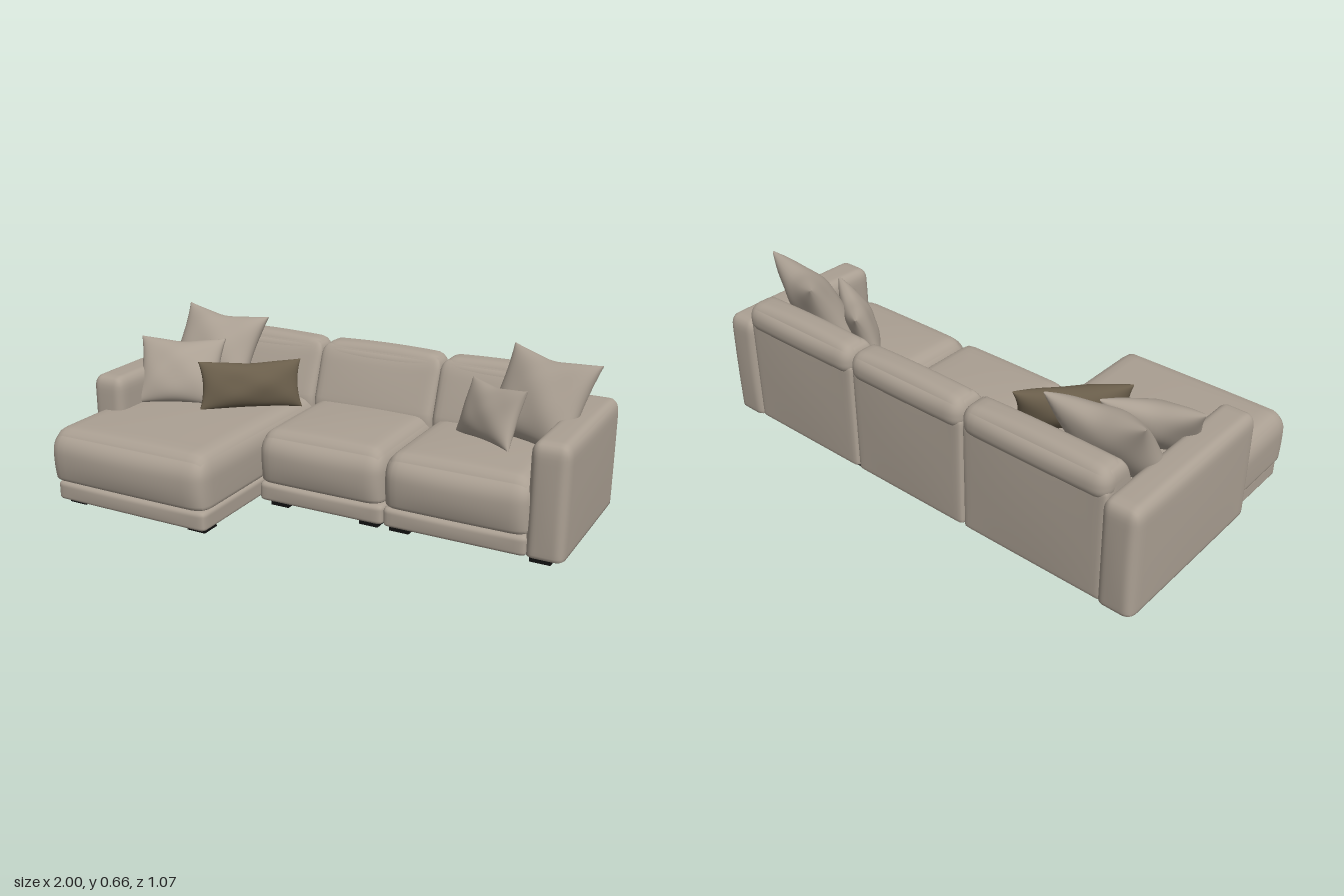
import * as THREE from 'three';
import { mergeVertices } from 'three/addons/utils/BufferGeometryUtils.js';

const mat = (name, color) => {
  const m = new THREE.MeshStandardMaterial({ color });
  m.name = name;
  return m;
};

// Weld a deformed geometry so it shades smoothly.
function smooth(geometry) {
  geometry.deleteAttribute('uv');
  geometry.deleteAttribute('normal');
  const g = mergeVertices(geometry, 1e-5);
  g.computeVertexNormals();
  return g;
}

// Upholstered block from min/max ranges. r: side radius, rt/rb: vertical radius
// at top and bottom, bulge: [x, y, z] swelling, shape: extra rule for each point.
function softBlock([x0, x1], [y0, y1], [z0, z1], { r, rt = r, rb = r, bulge = [0, 0, 0], shape } = {}) {
  const half = [(x1 - x0) / 2, (y1 - y0) / 2, (z1 - z0) / 2];
  const mid = [(x0 + x1) / 2, (y0 + y1) / 2, (z0 + z1) / 2];
  const geo = new THREE.BoxGeometry(2, 2, 2, 22, 22, 22);
  const pos = geo.attributes.position;
  const p = new THREE.Vector3();
  for (let i = 0; i < pos.count; i++) {
    // Crowd the grid towards the edges, where the rounding is.
    const u = [pos.getX(i), pos.getY(i), pos.getZ(i)].map(t => Math.sin(t * Math.PI / 2));
    const rad = [r, u[1] > 0 ? rt : rb, r];
    const d = u.map((t, k) => Math.max(0, (Math.abs(t) * half[k] - half[k] + rad[k]) / rad[k]));
    const len = Math.hypot(...d) || 1;
    const q = u.map((t, k) => {
      const inner = Math.min(Math.abs(t) * half[k], half[k] - rad[k]);
      const a = u[(k + 1) % 3], b = u[(k + 2) % 3];
      const swell = bulge[k] * t * (1 - a * a) * (1 - b * b);
      return mid[k] + Math.sign(t) * (inner + rad[k] * d[k] / len) + swell;
    });
    p.set(...q);
    if (shape) shape(p, u);
    pos.setXYZ(i, p.x, p.y, p.z);
  }
  return smooth(geo);
}

// Throw pillow: pointed corners, hollow edges, soft folds and thin seams.
function pillowGeometry(w, h, depth, pinch, phase) {
  const geo = new THREE.BoxGeometry(2, 2, 2, 28, 28, 1);
  const pos = geo.attributes.position;
  for (let i = 0; i < pos.count; i++) {
    const u = Math.sin(pos.getX(i) * Math.PI / 2), v = Math.sin(pos.getY(i) * Math.PI / 2);
    const body = (1 - u * u) * (1 - v * v);
    const fold = 1 + 0.07 * Math.sin(5 * u + phase) * Math.cos(4 * v - phase);
    const dent = 0.05 * Math.exp(-u * u * 8) * Math.max(0, v) ** 4;
    pos.setXYZ(i,
      u * w / 2 * (1 - pinch * (1 - v * v)),
      h / 2 * (v * (1 - pinch * (1 - u * u)) - dent),
      pos.getZ(i) * (0.003 + depth / 2 * fold * Math.pow(Math.max(0, body), 0.5)));
  }
  return smooth(geo);
}

export function createModel() {
  const fabric = mat('beige fabric', 0xaba093);
  const brown = mat('brown fabric', 0x695d4a);
  const black = mat('black feet', 0x111111);
  const sofa = new THREE.Group();
  sofa.name = 'sectionalSofa';

  const add = (name, geometry, material = fabric) => {
    const mesh = new THREE.Mesh(geometry, material);
    mesh.name = name;
    sofa.add(mesh);
    return mesh;
  };

  // Arms
  const arm = { r: 0.035, rt: 0.05, rb: 0.012, bulge: [0.004, 0.003, 0.006] };
  add('leftArm', softBlock([0.85, 0.995], [0.02, 0.463], [-0.522, 0.127], arm));
  add('rightArm', softBlock([-0.995, -0.85], [0.02, 0.463], [-0.522, 0.222], arm));

  // Seat sections: x range, front of the cushion, front of the plinth
  const seats = [
    ['chaise', [-0.985, -0.252], 0.515, 0.505, [-0.968, -0.262]],
    ['middle', [-0.252, 0.291], 0.14, 0.13, [-0.255, 0.29]],
    ['end', [0.291, 0.868], 0.14, 0.13, [0.29, 0.86]],
  ];
  for (const [name, xs, front, baseFront, baseX] of seats) {
    add(name + 'Base', softBlock(baseX, [0.022, 0.104], [-0.49, baseFront],
      { r: 0.025, rt: 0.02, rb: 0.015, bulge: [0, 0, 0.006] }));
    add(name + 'SeatCushion', softBlock(xs, [0.1, 0.322], [-0.42, front], {
      r: 0.06, rt: 0.09, rb: 0.02, bulge: [0.004, 0.012, 0.012],
      shape: (p, u) => { // belly of the front edge
        p.z += 0.012 * Math.max(0, u[2]) ** 3 * (1 - u[1] * u[1]);
      },
    }));
  }

  // Backrest sections: rear panel, sloping cushion and rolled top
  const backs = [['chaise', -0.87, -0.255], ['middle', -0.255, 0.29], ['end', 0.29, 0.865]];
  for (const [name, x0, x1] of backs) {
    add(name + 'BackPanel', softBlock([x0 + 0.002, x1 - 0.002], [0.022, 0.48], [-0.513, -0.4],
      { r: 0.02, rb: 0.012, bulge: [0, 0, 0.006] }));
    add(name + 'BackCushion', softBlock([x0, x1], [0.22, 0.548], [-0.49, -0.305], {
      r: 0.035, rt: 0.05, bulge: [0, 0.006, 0.012],
      shape: (p) => {
        const f = THREE.MathUtils.clamp((p.z + 0.49) / 0.185, 0, 1);
        p.z -= 0.4 * f * Math.max(0, p.y - 0.32);
      },
    }));
    add(name + 'BackRoll', softBlock([x0, x1], [0.432, 0.555], [-0.527, -0.385],
      { r: 0.05, rt: 0.06, rb: 0.05, bulge: [0, 0.01, 0.007] }));
  }

  // Throw pillows: size, position, yaw, backward tilt, roll
  const pillows = [
    ['largeRightPillow', 0.4, 0.37, 0.17, [-0.71, 0.49, -0.27], 0.05, 0.55, -0.07, 0.12, fabric],
    ['smallRightPillow', 0.36, 0.3, 0.14, [-0.745, 0.445, -0.05], 0.42, 0.6, -0.02, 0.1, fabric],
    ['brownPillow', 0.43, 0.2, 0.12, [-0.435, 0.415, -0.11], 0.76, 0.28, -0.04, 0.08, brown],
    ['largeLeftPillow', 0.41, 0.37, 0.17, [0.755, 0.49, -0.26], -0.34, 0.5, -0.02, 0.12, fabric],
    ['smallLeftPillow', 0.33, 0.23, 0.11, [0.59, 0.435, -0.18], -0.6, 0.4, 0.09, 0.1, fabric],
  ];
  pillows.forEach(([name, w, h, d, at, yaw, tilt, roll, pinch, material], i) => {
    const mesh = add(name, pillowGeometry(w, h, d, pinch, i * 1.7), material);
    mesh.position.set(...at);
    mesh.rotation.set(-tilt, yaw, roll, 'YXZ');
  });

  // Feet
  const feet = [[-0.905, 0.42], [-0.33, 0.42], [-0.905, 0.17]];
  for (const x of [-0.175, 0.22, 0.35, 0.905]) feet.push([x, 0.06]);
  for (const x of [-0.905, -0.33, -0.175, 0.22, 0.35, 0.905]) feet.push([x, -0.44]);
  const footGeometry = new THREE.BoxGeometry(0.08, 0.026, 0.08);
  for (const [x, z] of feet) add('foot', footGeometry, black).position.set(x, 0.013, z);

  return sofa;
}
